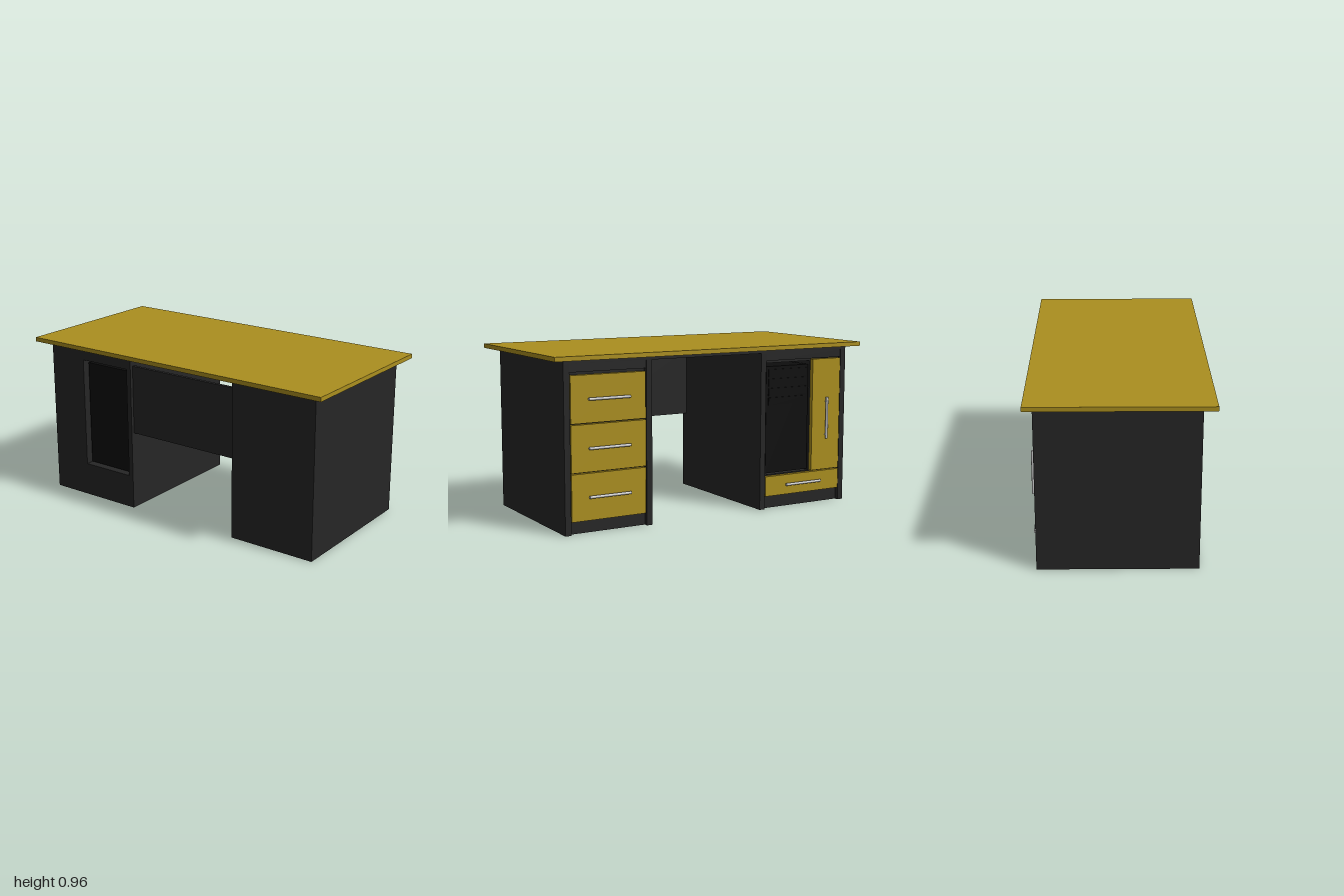
import * as THREE from 'three';

export function createModel() {
  const desk = new THREE.Group();
  desk.name = 'desk';
  const wood = new THREE.MeshStandardMaterial({ color: 0xab8f1f });
  const dark = new THREE.MeshStandardMaterial({ color: 0x262626 });
  const black = new THREE.MeshStandardMaterial({ color: 0x0d0d0d });
  const metal = new THREE.MeshStandardMaterial({ color: 0xcccccc });

  const add = (name, geometry, material, parent = desk) => {
    const mesh = new THREE.Mesh(geometry, material);
    mesh.name = name;
    parent.add(mesh);
    return mesh;
  };
  // box given by its limits on each axis
  const box = (name, material, [x0, x1], [y0, y1], [z0, z1], parent = desk) => {
    const mesh = add(name, new THREE.BoxGeometry(x1 - x0, y1 - y0, z1 - z0), material, parent);
    mesh.position.set((x0 + x1) / 2, (y0 + y1) / 2, (z0 + z1) / 2);
    return mesh;
  };
  // bar handle on two posts, standing off the rear face
  const handle = (x, y, vertical = false) => {
    const group = new THREE.Group();
    group.name = 'handle';
    const bar = add('handleBar', new THREE.CylinderGeometry(0.008, 0.008, 0.25, 12), metal, group);
    bar.rotation.z = Math.PI / 2;
    bar.position.z = -0.013;
    for (const side of [-1, 1]) {
      const post = add('handlePost', new THREE.CylinderGeometry(0.006, 0.006, 0.018, 10), metal, group);
      post.rotation.x = Math.PI / 2;
      post.position.set(side * 0.1, 0, -0.004);
    }
    group.position.set(x, y, -0.45);
    if (vertical) group.rotation.z = Math.PI / 2;
    desk.add(group);
  };

  const FRONT = 0.43, BACK = -0.45, RECESS = -0.425, UNDER = 0.92;

  // desktop and the panel beneath it
  box('desktop', wood, [-1, 1], [0.94, 0.965], [-0.5, 0.5]);
  box('subTop', dark, [-0.93, 0.93], [UNDER, 0.94], [BACK, FRONT]);
  box('modestyPanel', dark, [-0.32, 0.4], [0.47, 0.88], [0.39, 0.41]);

  // pedestal core, with an optional opening running right through it
  const pedestal = (name, x0, x1, hole) => {
    const rect = (Type, a, b, c, d) => new Type([[a, c], [b, c], [b, d], [a, d]].map(p => new THREE.Vector2(...p)));
    const shape = rect(THREE.Shape, x0, x1, 0, UNDER);
    if (hole) shape.holes.push(rect(THREE.Path, ...hole));
    const core = new THREE.ExtrudeGeometry(shape, { depth: FRONT - RECESS, bevelEnabled: false });
    add(name, core, dark).position.z = RECESS;
    // side edges and top rail framing the drawer side
    box(name + 'EdgeRight', dark, [x0, x0 + 0.035], [0, UNDER], [BACK, RECESS]);
    box(name + 'EdgeLeft', dark, [x1 - 0.035, x1], [0, UNDER], [BACK, RECESS]);
    box(name + 'Rail', dark, [x0 + 0.035, x1 - 0.035], [0.875, UNDER], [BACK + 0.005, RECESS]);
  };
  pedestal('drawerPedestal', 0.4, 0.93);
  pedestal('cabinetPedestal', -0.93, -0.32, [-0.685, -0.35, 0.2, 0.86]);

  // three stacked drawers
  for (const y of [0.2, 0.465, 0.73]) {
    box('drawerFront', wood, [0.44, 0.89], [y - 0.129, y + 0.129], [BACK, RECESS]);
    handle(0.665, y);
  }

  // cabinet door and low drawer
  box('cabinetDoor', wood, [-0.892, -0.69], [0.2, 0.87], [BACK, RECESS]);
  handle(-0.79, 0.513, true);
  box('lowDrawerFront', wood, [-0.892, -0.36], [0.075, 0.193], [BACK, RECESS]);
  handle(-0.625, 0.135);

  // computer case standing inside the opening, with drive bays
  box('computerCase', black, [-0.67, -0.37], [0.21, 0.84], [-0.43, 0.4]);
  for (let i = 0; i < 4; i++) {
    const y = 0.8 - i * 0.055;
    box('driveBay', black, [-0.655, -0.385], [y - 0.022, y + 0.022], [-0.436, -0.43]);
  }
  return desk;
}
